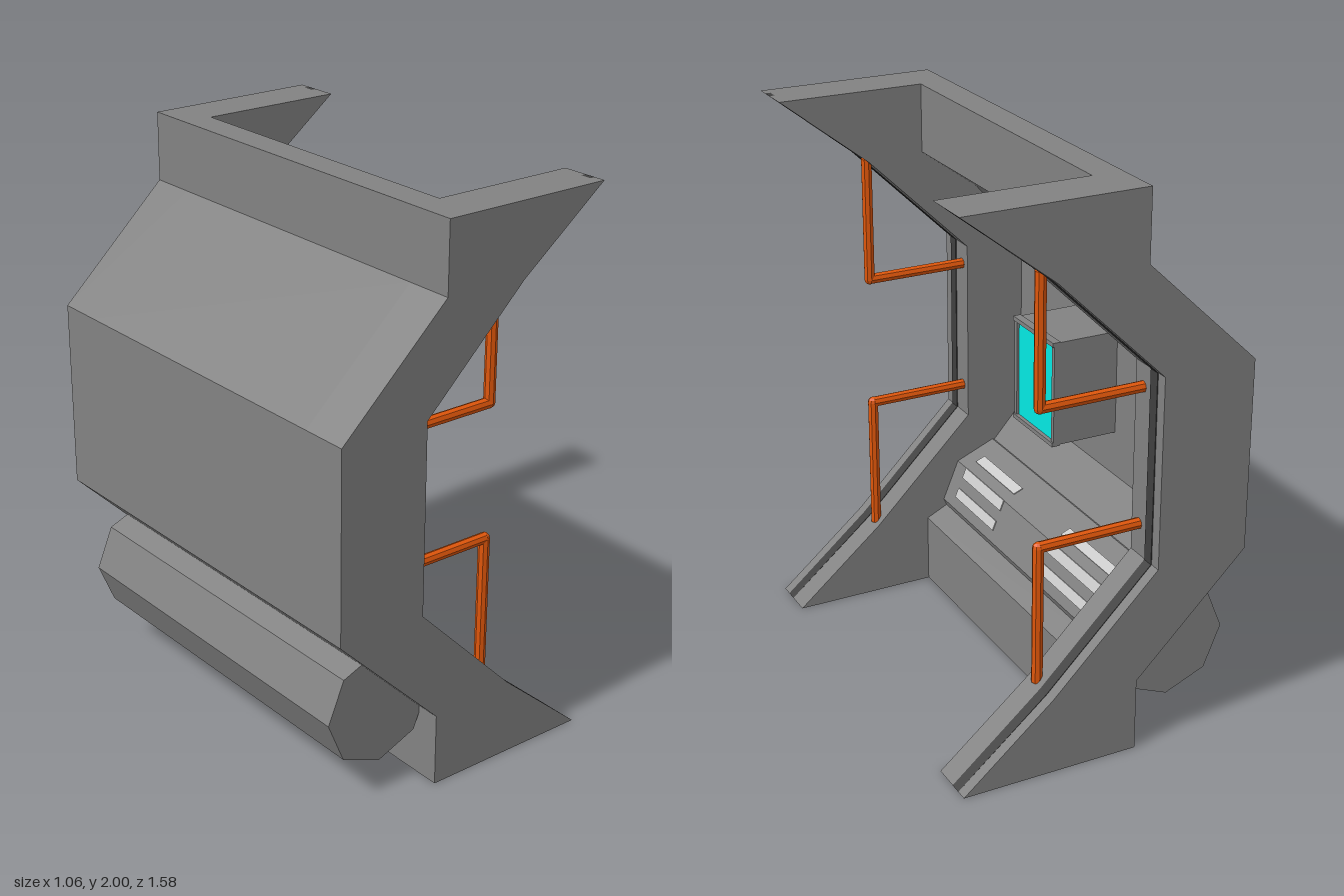
import * as THREE from 'three';

const grey = new THREE.MeshStandardMaterial({ color: 0x828282, flatShading: true });
const dark = new THREE.MeshStandardMaterial({ color: 0x404040, flatShading: true });
const orange = new THREE.MeshStandardMaterial({ color: 0xdf560a, flatShading: true });
const cyan = new THREE.MeshStandardMaterial({ color: 0x04eae4 });
const white = new THREE.MeshStandardMaterial({ color: 0xdddddd });

// Side profiles as [x, y] points
const outer = [[-0.12, 2], [-0.12, 1.75], [-0.53, 1.36], [-0.53, 0.67], [-0.12, 0.265], [-0.12, 0]];
const frameEdge = [[0.53, 0], [0.2, 0.28], [-0.19, 0.67], [-0.19, 1.36], [0.2, 1.74], [0.53, 2]];
const wallEdge = [[-0.01, 0], [-0.01, 0.265], [-0.093, 0.305], [-0.42, 0.675], [-0.42, 1.36],
  [-0.23, 1.59], [-0.01, 1.75], [-0.01, 2]];

export function createModel() {
  const group = new THREE.Group();

  const add = (name, geometry, material, x = 0, y = 0, z = 0) => {
    const mesh = new THREE.Mesh(geometry, material);
    mesh.name = name;
    mesh.position.set(x, y, z);
    group.add(mesh);
    return mesh;
  };

  // Extrude a side profile between two z values
  const slab = (name, points, z0, z1, material) => {
    const shape = new THREE.Shape(points.map(([x, y]) => new THREE.Vector2(x, y)));
    const geometry = new THREE.ExtrudeGeometry(shape, { depth: z1 - z0, bevelEnabled: false });
    add(name, geometry, material, 0, 0, z0);
  };

  // Rod between two points of the side plane
  const rod = (name, [x0, y0], [x1, y1], z) => {
    const length = Math.hypot(x1 - x0, y1 - y0);
    const mesh = add(name, new THREE.CylinderGeometry(0.02, 0.02, length, 8), orange,
      (x0 + x1) / 2, (y0 + y1) / 2, z);
    mesh.rotation.z = Math.atan2(y1 - y0, x1 - x0) - Math.PI / 2;
  };

  // Recessed wall between the two frames
  slab('wall', [...wallEdge, ...outer], -0.612, 0.612, grey);

  // Dark seal running along the frame edge, flush at the tips
  const seal = [
    ...frameEdge.map(([x, y]) => [Math.min(x + 0.003, 0.53), y]),
    ...[...frameEdge].reverse().map(([x, y]) => [x - 0.02, y]),
  ];

  for (const side of [1, -1]) {
    const [a, b] = side > 0 ? [0.612, 0.788] : [-0.788, -0.612];
    slab('sideFrame', [...frameEdge, ...outer], a, b, grey);
    slab('frameSeal', seal, side * 0.725 - 0.021, side * 0.725 + 0.021, dark);

    // Upper and lower bent handrails
    for (const [y, end] of [[1.28, 1.74], [0.785, 0.28]]) {
      const z = side * 0.657;
      rod('handrailArm', [-0.21, y], [0.19, y], z);
      rod('handrailPost', [0.19, y], [0.19, end], z);
      add('handrailElbow', new THREE.SphereGeometry(0.02, 8, 6), orange, 0.19, y, z);
    }
  }

  // Eight-sided tank through the lower wall
  const tank = add('tank', new THREE.CylinderGeometry(0.214, 0.214, 1.4, 8), grey, -0.295, 0.332, 0);
  tank.rotation.x = Math.PI / 2;

  // Light strips on the tank facets: x, y, width along the facet, tilt
  const strips = [
    [-0.204, 0.508, 0.04, Math.PI * 3 / 8],
    [-0.136, 0.465, 0.042, Math.PI / 8],
    [-0.104, 0.388, 0.038, Math.PI / 8],
  ];
  for (const [z, length] of [[0.378, 0.315], [-0.323, 0.36]]) {
    for (const [x, y, width, tilt] of strips) {
      add('lightStrip', new THREE.BoxGeometry(0.008, width, length), white, x, y, z).rotation.z = tilt;
    }
  }

  // Screen housing with raised rim
  const y = 1.038, z = 0.037;
  add('screenHousing', new THREE.BoxGeometry(0.25, 0.39, 0.29), grey, -0.305, y, z);
  add('screen', new THREE.BoxGeometry(0.006, 0.372, 0.262), cyan, -0.178, y, z);
  for (const s of [1, -1]) {
    add('screenRim', new THREE.BoxGeometry(0.03, 0.016, 0.296), grey, -0.175, y + s * 0.19, z);
    add('screenRim', new THREE.BoxGeometry(0.024, 0.37, 0.018), grey, -0.178, y, z + s * 0.139);
  }

  return group;
}
